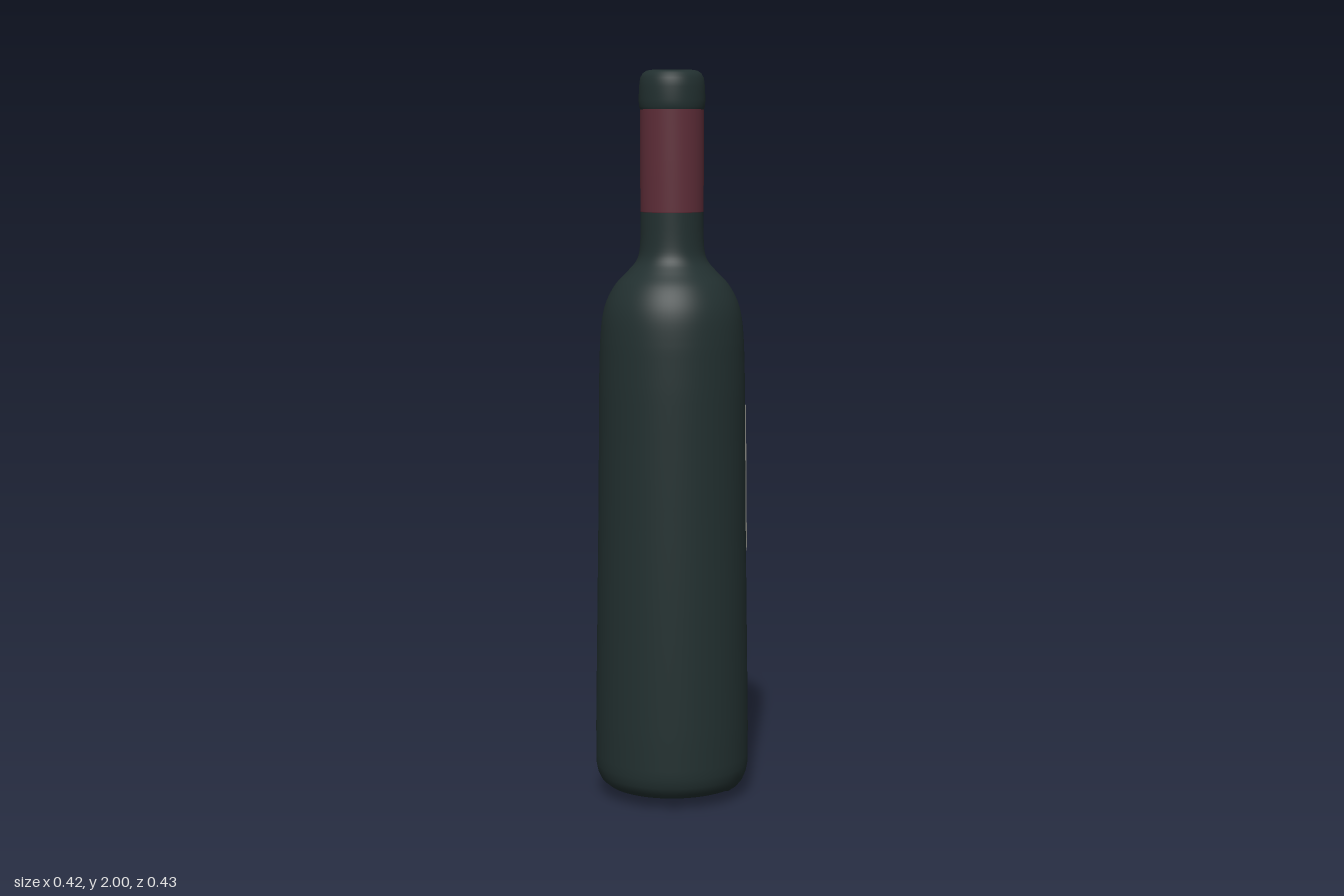
import * as THREE from 'three';
import { mergeVertices } from 'three/addons/utils/BufferGeometryUtils.js';

const DEG = Math.PI / 180;
const glass = new THREE.MeshStandardMaterial({ color: 0x223030 });
glass.name = 'darkGreenGlass';
const foil = new THREE.MeshStandardMaterial({ color: 0x5e2d38 });
foil.name = 'redFoil';
const paper = new THREE.MeshStandardMaterial({ color: 0xb5b5ad, side: THREE.DoubleSide });
paper.name = 'paper';

// Outer wall from above the base up to the neck: [radius, y]
const WALL = [
  [0.212, 0.09], [0.212, 0.2], [0.209, 0.4], [0.206, 0.6], [0.203, 0.8], [0.201, 1.0], [0.2, 1.15],
  [0.197, 1.26], [0.191, 1.33], [0.178, 1.38], [0.153, 1.425], [0.12, 1.46], [0.096, 1.49],
  [0.087, 1.53], [0.085, 1.62],
];

function wallRadius(y) {
  let i = 1;
  while (i < WALL.length - 1 && WALL[i][1] < y) i++;
  const [r0, y0] = WALL[i - 1], [r1, y1] = WALL[i];
  return THREE.MathUtils.lerp(r0, r1, (y - y0) / (y1 - y0));
}

// Uneven base and the raised fold at the end of the lower label
function deform(geo) {
  const p = geo.attributes.position;
  for (let i = 0; i < p.count; i++) {
    let x = p.getX(i), y = p.getY(i), z = p.getZ(i);
    const r = Math.hypot(x, z);
    if (r > 0.12 && y < 0.07) {
      const lobe = Math.exp(-(((Math.abs(x) - 0.14) / 0.045) ** 2) - (((z + 0.06) / 0.075) ** 2));
      y -= 0.025 * lobe * (1 - y / 0.07) / 0.6;
    }
    if (r > 0.15) {
      const a = Math.atan2(x, -z) / DEG;
      const k = 1 + 0.09 * Math.exp(-(((a - 42) / 5) ** 2) - (((y - 0.37) / 0.06) ** 2));
      x *= k;
      z *= k;
    }
    p.setXYZ(i, x, Math.max(0, y), z);
  }
}

function turned(name, points, material, start = 0, length = Math.PI * 2) {
  let geo = new THREE.LatheGeometry(points.map(([r, y]) => new THREE.Vector2(r, y)), 80, start, length);
  deform(geo);
  // Weld the seam so that shading stays smooth all round
  geo.deleteAttribute('uv');
  geo.deleteAttribute('normal');
  geo = mergeVertices(geo, 1e-5);
  geo.computeVertexNormals();
  const mesh = new THREE.Mesh(geo, material);
  mesh.name = name;
  return mesh;
}

// Curved paper between two angles measured from the back towards +x
function label(name, y0, y1, a0, a1) {
  const points = [];
  for (let i = 0; i <= 8; i++) {
    const y = THREE.MathUtils.lerp(y0, y1, i / 8);
    points.push([wallRadius(y) + 0.003, y]);
  }
  return turned(name, points, paper, Math.PI - a1 * DEG, (a1 - a0) * DEG);
}

export function createModel() {
  const group = new THREE.Group();
  group.name = 'bottle';

  // Body: hollow base, rounded heel, straight wall, shoulder and lower neck
  const body = [[0, 0.045], [0.06, 0.042], [0.1, 0.034], [0.13, 0.028], [0.16, 0.026], [0.18, 0.031], [0.197, 0.045], [0.207, 0.065]];
  for (let y = 0.09; y < 1.24; y += 0.025) body.push([wallRadius(y), y]);
  const shoulder = new THREE.SplineCurve(WALL.slice(7).map(([r, y]) => new THREE.Vector2(r, y)));
  for (const v of shoulder.getPoints(28)) body.push([v.x, v.y]);
  group.add(turned('body', body, glass));

  // Foil band round the neck
  group.add(turned('neckFoil', [[0.085, 1.62], [0.086, 1.622], [0.086, 1.76], [0.086, 1.895]], foil));

  // Rounded top of the neck
  group.add(turned('neckTop', [
    [0.086, 1.895], [0.089, 1.903], [0.09, 1.92], [0.089, 1.955], [0.086, 1.978],
    [0.079, 1.991], [0.068, 1.998], [0.055, 2], [0.03, 1.998], [0, 1.997],
  ], glass));

  // Labels on the back
  group.add(label('mainLabel', 0.69, 1.09, -79, 79));
  group.add(label('lowerLabel', 0.32, 0.43, -76, 42));
  return group;
}
